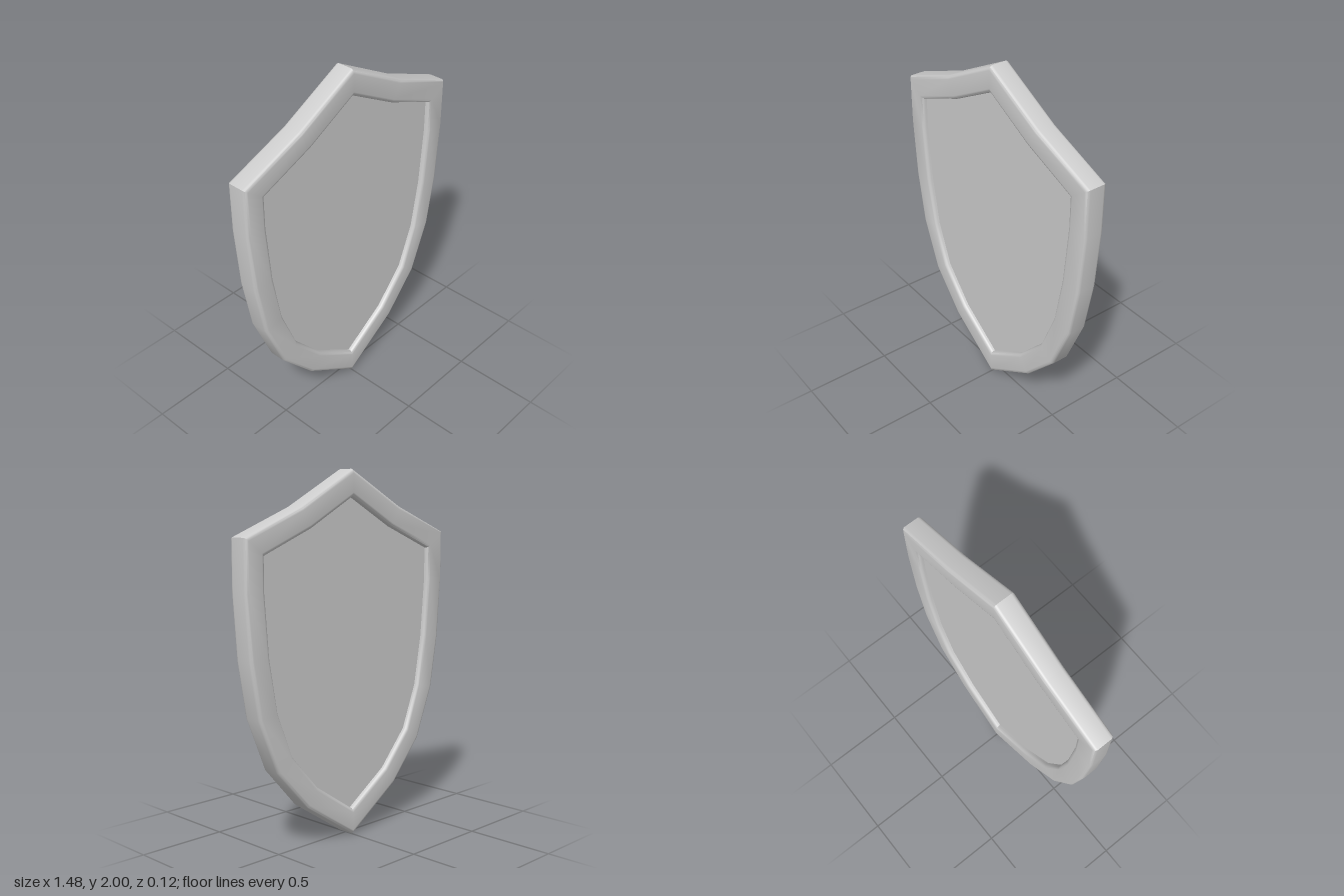
import * as THREE from 'three';
import { toCreasedNormals } from 'three/addons/utils/BufferGeometryUtils.js';

const material = new THREE.MeshStandardMaterial({ color: 0xcccccc });

// Right half of the outer and inner outlines, from the peak down to the tip
const outerHalf = [[0, 2], [0.37, 1.805], [0.74, 1.66], [0.74, 1.39], [0.715, 1.05],
  [0.663, 0.75], [0.545, 0.46], [0.34, 0.23], [0, 0.005]];
const innerHalf = [[0, 1.855], [0.3, 1.695], [0.617, 1.568], [0.617, 1.39], [0.59, 1.06],
  [0.54, 0.775], [0.443, 0.53], [0.265, 0.33], [0, 0.153]];

// Mirrors a half outline into a closed clockwise loop
const mirrorLoop = half => [...half, ...half.slice(1, -1).reverse().map(([x, y]) => [-x, y])];
const outer = mirrorLoop(outerHalf);
const inner = mirrorLoop(innerHalf);
const between = (i, t) => [0, 1].map(k => outer[i][k] + (inner[i][k] - outer[i][k]) * t);

// Rounded rectangular section: t runs from outer edge (0) to inner edge (1), z is depth
function rimSection() {
  const depth = 0.06, round = 0.02, roundT = 0.16, steps = 4;
  const points = [];
  const corners = [[0, 1], [1, 1], [1, -1], [0, -1]];
  corners.forEach(([t, side], c) => {
    for (let s = 0; s <= steps; s++) {
      const a = Math.PI - (c + s / steps) * Math.PI / 2;
      points.push([
        (t ? 1 - roundT : roundT) + Math.cos(a) * roundT,
        side * (depth - round) + Math.sin(a) * round,
      ]);
    }
  });
  return points;
}

// Sweeps the section around the mitred outline
function rimGeometry() {
  const section = rimSection();
  const n = outer.length, m = section.length;
  const positions = [], index = [];
  for (let i = 0; i < n; i++) {
    for (let j = 0; j < m; j++) {
      const [t, z] = section[j];
      positions.push(...between(i, t), z);
      const i2 = (i + 1) % n, j2 = (j + 1) % m;
      const a = i * m + j, b = i2 * m + j, c = i * m + j2, d = i2 * m + j2;
      index.push(a, c, b, b, c, d);
    }
  }
  const geometry = new THREE.BufferGeometry();
  geometry.setAttribute('position', new THREE.Float32BufferAttribute(positions, 3));
  geometry.setIndex(index);
  return toCreasedNormals(geometry, 0.7);
}

// Flat panel recessed on both faces, its edge tucked inside the rim
function panelGeometry() {
  const shape = new THREE.Shape(outer.map((_, i) => new THREE.Vector2(...between(i, 0.95))));
  return new THREE.ExtrudeGeometry(shape, { depth: 0.06, bevelEnabled: false }).translate(0, 0, -0.03);
}

export function createModel() {
  const shield = new THREE.Group();
  shield.name = 'shield';
  const add = (name, geometry) => {
    const mesh = new THREE.Mesh(geometry, material);
    mesh.name = name;
    shield.add(mesh);
  };
  add('rim', rimGeometry());
  add('panel', panelGeometry());
  return shield;
}
